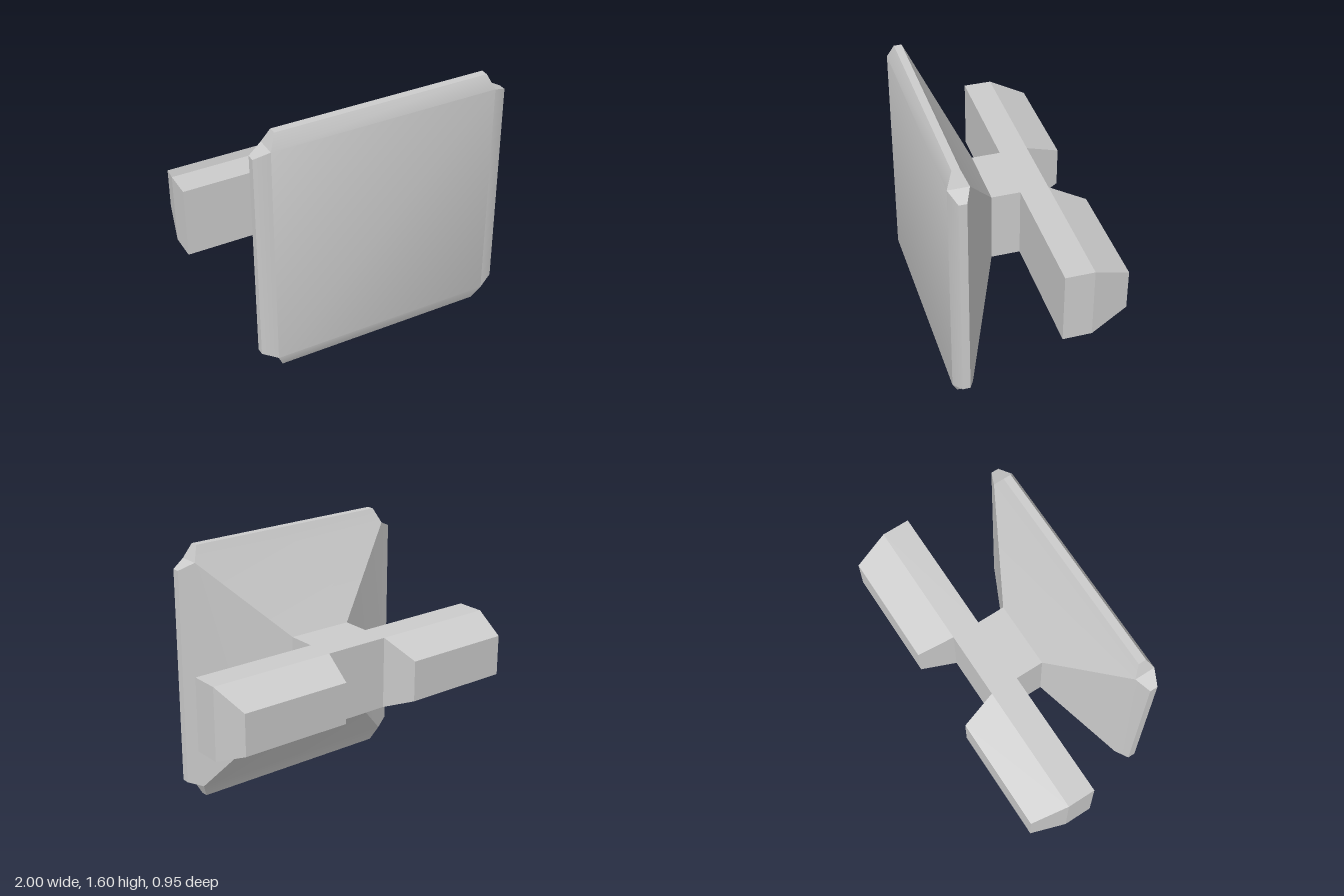
import * as THREE from 'three';
import { mergeGeometries, toCreasedNormals } from 'three/addons/utils/BufferGeometryUtils.js';

const MID = 0.805; // height of the central axis

// Rectangle facing +z, corners counter-clockwise from the front
const rect = (x0, x1, h, z) => [[x0, -h, z], [x1, -h, z], [x1, h, z], [x0, h, z]];

// Walls between two four-cornered sections, and/or a flat cap on the last
function loft(first, last, capped = false) {
  const pos = [];
  const quad = (a, b, c, d) => pos.push(...a, ...b, ...c, ...a, ...c, ...d);
  if (first) {
    for (let i = 0; i < 4; i++) {
      const j = (i + 1) % 4;
      quad(first[i], first[j], last[j], last[i]);
    }
  }
  if (capped) quad(...last);
  const geo = new THREE.BufferGeometry();
  geo.setAttribute('position', new THREE.Float32BufferAttribute(pos, 3));
  return geo;
}

// Tapered lip on the +x edge: a = edge distance, b = half length of the edge
function lip(a, b) {
  const section = (x, h, zb, zf) => [[x, -h, zf], [x, -h, zb], [x, h, zb], [x, h, zf]];
  return loft(section(a, b, 0.35, 0.475), section(a + 0.09, b - 0.04, 0.39, 0.437), true);
}

export function createModel() {
  const group = new THREE.Group();
  const material = new THREE.MeshStandardMaterial({ color: 0xcccccc });
  const add = (name, geo) => {
    const mesh = new THREE.Mesh(geo, material);
    mesh.name = name;
    group.add(mesh);
    return mesh;
  };

  // Head: flared back, flat front and four tapered lips, softly shaded across the shallow bevels
  const w = 0.7, h = 0.71;
  const headParts = [
    loft(rect(-0.207, 0.207, 0.222, 0.09), rect(-w, w, h, 0.35)),
    loft(null, rect(-w, w, h, 0.475), true),
  ];
  for (let k = 0; k < 4; k++) {
    headParts.push((k % 2 ? lip(h, w) : lip(w, h)).rotateZ(k * Math.PI / 2));
  }
  add('head', toCreasedNormals(mergeGeometries(headParts), 0.45)).position.y = MID;

  // Neck and crossbar: one T-shaped plan raised to the bar height
  const plan = new THREE.Shape([
    [-0.207, -0.09], [0.207, -0.09], [0.207, 0.085], [1, 0.085],
    [1, 0.257], [-1, 0.257], [-1, 0.085], [-0.207, 0.085],
  ].map(([x, y]) => new THREE.Vector2(x, y)));
  const bar = new THREE.ExtrudeGeometry(plan, { depth: 0.444, bevelEnabled: false });
  bar.rotateX(-Math.PI / 2);
  add('neckAndCrossbar', bar).position.y = MID - 0.222;

  // Tapered pads on the back of the crossbar
  for (const side of [-1, 1]) {
    const c = side * 0.6035;
    const pad = loft(
      rect(c - 0.3965, c + 0.3965, 0.222, -0.257).reverse(),
      rect(c - 0.345, c + 0.345, 0.126, -0.475).reverse(),
      true,
    );
    pad.computeVertexNormals();
    add(side > 0 ? 'leftPad' : 'rightPad', pad).position.y = MID;
  }

  return group;
}
